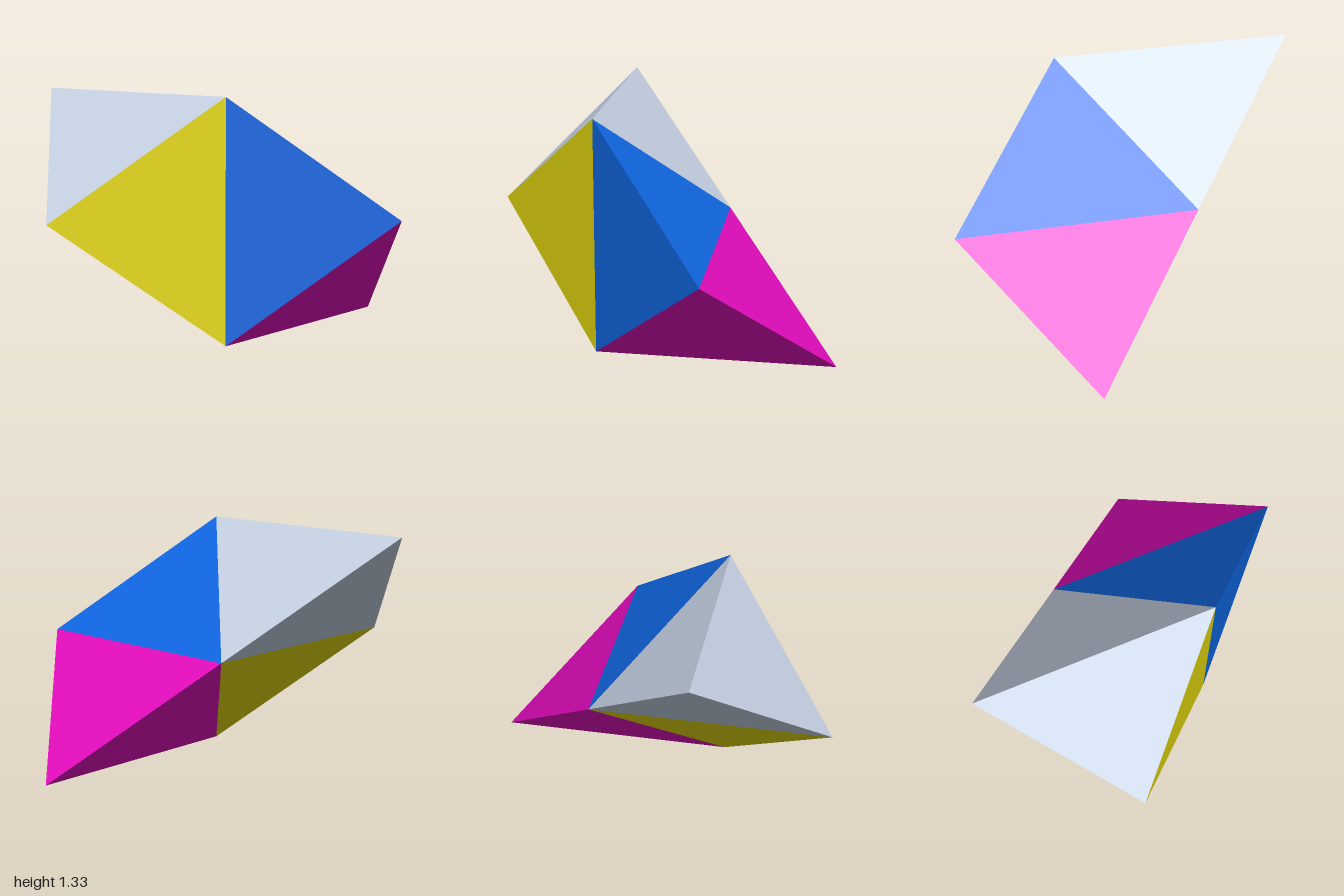
import * as THREE from 'three';

// Shared corners of the chain, on a grid of one third of a unit
const t = 1 / 3;
const corner = (x, y, z) => new THREE.Vector3(x * t, y * t, z * t);
const backTop = corner(-1, 4, -3);
const frontTop = corner(-1, 4, 1);
const leftTip = corner(-3, 2, -1);
const middle = corner(1, 2, -1);
const frontTip = corner(1, 2, 3);
const bottom = corner(-1, 0, 1);
const bottomTip = corner(3, 0, 1);

// Closed tetrahedron with flat faces, each wound to face away from the fourth corner
function tetrahedron(points) {
  const positions = [];
  for (let i = 0; i < 4; i++) {
    const [a, b, c] = points.filter((_, k) => k !== i);
    const normal = b.clone().sub(a).cross(c.clone().sub(a));
    const inward = normal.dot(points[i].clone().sub(a)) > 0;
    for (const p of inward ? [a, c, b] : [a, b, c]) positions.push(p.x, p.y, p.z);
  }
  const geometry = new THREE.BufferGeometry();
  geometry.setAttribute('position', new THREE.Float32BufferAttribute(positions, 3));
  geometry.computeVertexNormals();
  return geometry;
}

export function createModel() {
  const group = new THREE.Group();
  group.name = 'tetrahedronChain';

  // Four equal tetrahedra, each sharing a face with the next
  const parts = [
    ['greyTetrahedron', 0xc8d4e6, [frontTop, backTop, leftTip, middle]],
    ['yellowTetrahedron', 0xe6da0c, [frontTop, leftTip, middle, bottom]],
    ['blueTetrahedron', 0x1068e6, [frontTop, middle, bottom, frontTip]],
    ['magentaTetrahedron', 0xe60cc0, [middle, bottom, frontTip, bottomTip]],
  ];
  for (const [name, color, points] of parts) {
    const material = new THREE.MeshStandardMaterial({ color, flatShading: true });
    const mesh = new THREE.Mesh(tetrahedron(points), material);
    mesh.name = name;
    group.add(mesh);
  }
  return group;
}
